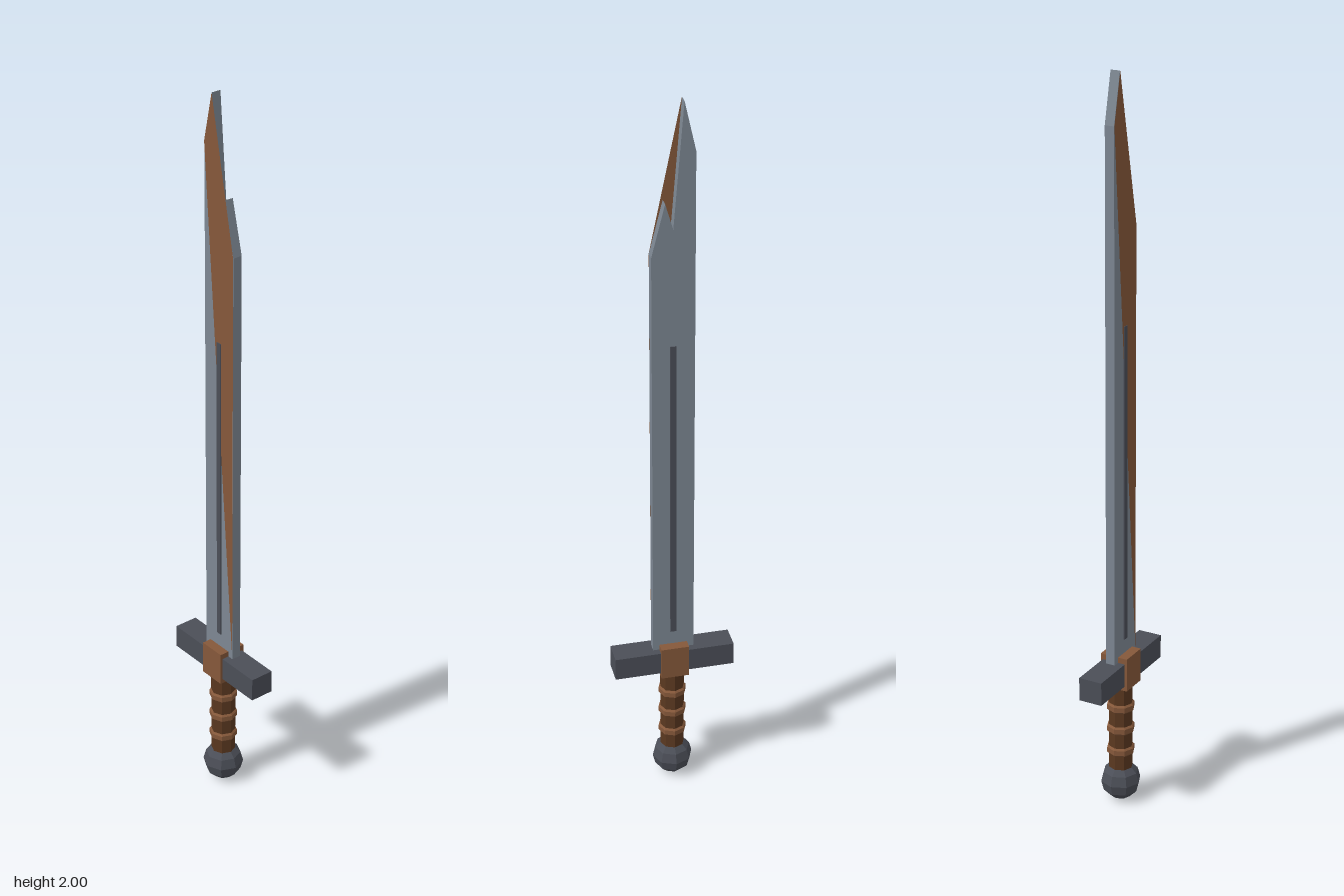
import * as THREE from 'three';

const paint = (color, extra = {}) => new THREE.MeshStandardMaterial({ color, flatShading: true, ...extra });

export function createModel() {
  const sword = new THREE.Group();
  sword.name = 'brokenSword';
  const steel = paint(0x7d8792);
  const iron = paint(0x4b4e57);
  const copper = paint(0x85583a);
  const leather = paint(0x5a3820);
  const rust = paint(0x85583a, { side: THREE.DoubleSide });

  const add = (name, geometry, material, y, z = 0) => {
    const mesh = new THREE.Mesh(geometry, material);
    mesh.name = name;
    mesh.position.set(0, y, z);
    sword.add(mesh);
    return mesh;
  };
  const outline = (points) => new THREE.Shape(points.map(([x, y]) => new THREE.Vector2(x, y)));

  // Flat blade with a snapped, notched tip
  const bladeShape = outline([
    [-0.056, 0.4], [0.055, 0.4], [0.055, 1.6], [0.02, 1.74],
    [0, 1.67], [-0.027, 2], [-0.056, 1.87],
  ]);
  const thickness = 0.026;
  add('blade', new THREE.ExtrudeGeometry(bladeShape, { depth: thickness, bevelEnabled: false }),
    steel, 0, -thickness / 2);

  // Rusted skin on the front, bridging the notch
  const rustShape = outline([[0.055, 0.43], [0.055, 1.6], [-0.027, 2], [-0.056, 1.87]]);
  add('rustedFace', new THREE.ShapeGeometry(rustShape), rust, 0, thickness / 2 + 0.0008);

  // Raised dark rib along both faces
  add('bladeRib', new THREE.BoxGeometry(0.016, 0.87, 0.031), iron, 0.915);

  // Crossguard and its centre block
  add('crossguard', new THREE.BoxGeometry(0.326, 0.065, 0.066), iron, 0.392);
  add('guardBlock', new THREE.BoxGeometry(0.076, 0.094, 0.079), copper, 0.393);

  // Grip with three wrapped bands
  add('grip', new THREE.CylinderGeometry(0.033, 0.033, 0.27, 8), leather, 0.22);
  for (const y of [0.15, 0.215, 0.28]) {
    const band = new THREE.LatheGeometry(
      [[0.032, -0.013], [0.038, -0.007], [0.038, 0.007], [0.032, 0.013]].map(([r, h]) => new THREE.Vector2(r, h)), 8);
    add('gripBand', band, copper, y);
  }

  // Faceted pommel
  add('pommel', new THREE.SphereGeometry(0.055, 8, 6), iron, 0.055);

  return sword;
}
